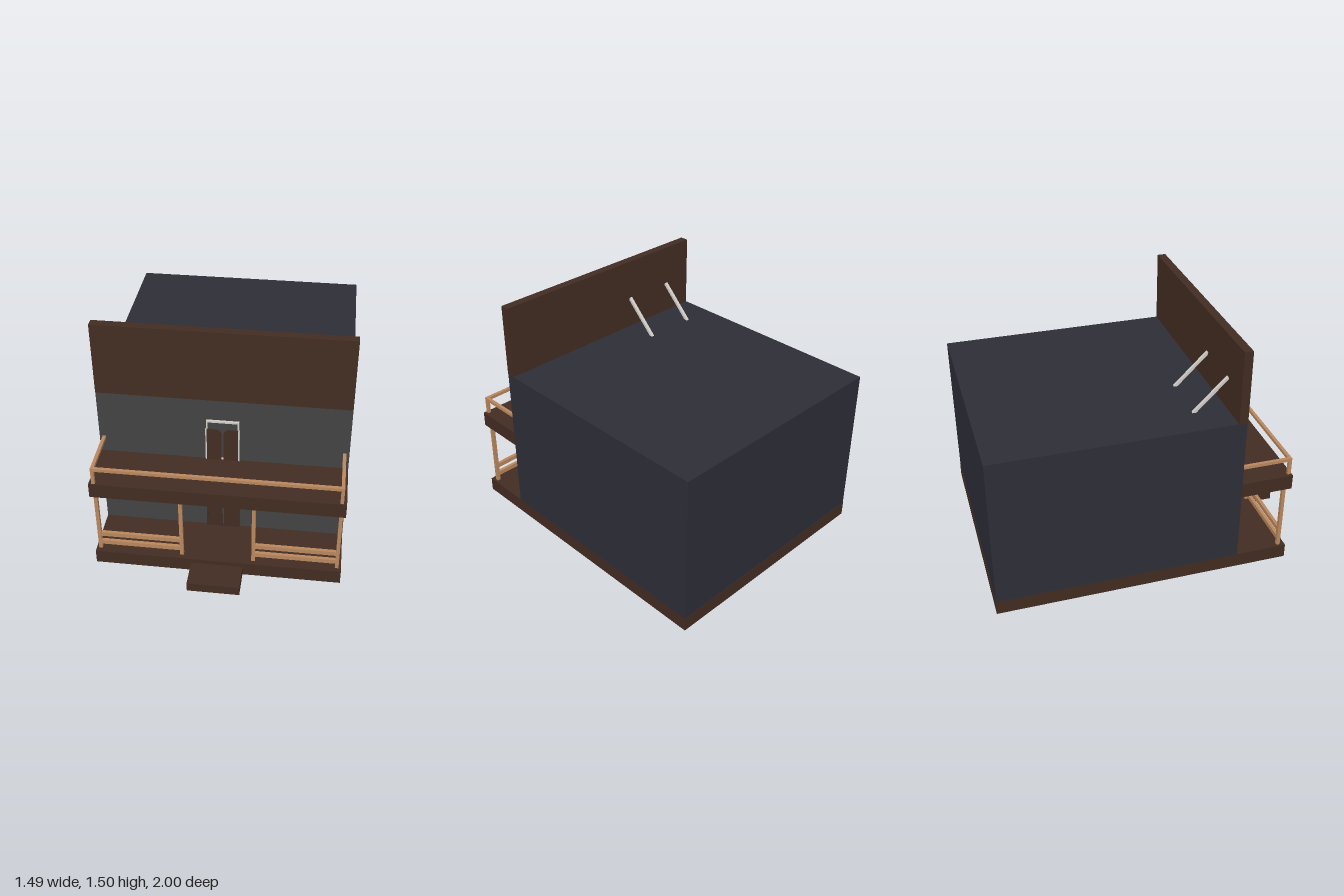
import * as THREE from 'three';

const mat = (name, color, side = THREE.FrontSide) => {
  const m = new THREE.MeshStandardMaterial({ color, side });
  m.name = name;
  return m;
};

export function createModel() {
  const brown = mat('dark wood', 0x422c22);
  const tan = mat('light wood', 0xb9875d);
  const slate = mat('slate walls', 0x2d2d37);
  const grey = mat('front wall grey', 0x434343);
  const pale = mat('pale trim', 0xcfcbc6);
  const model = new THREE.Group();

  // Box given by its minimum and maximum corners
  const box = (name, material, [x0, y0, z0], [x1, y1, z1], parent = model) => {
    const mesh = new THREE.Mesh(new THREE.BoxGeometry(x1 - x0, y1 - y0, z1 - z0), material);
    mesh.position.set((x0 + x1) / 2, (y0 + y1) / 2, (z0 + z1) / 2);
    mesh.name = name;
    parent.add(mesh);
    return mesh;
  };

  // Main masses
  box('baseDeck', brown, [-0.745, 0, -1], [0.745, 0.09, 0.83]);
  box('frontStep', brown, [-0.157, 0, 0.83], [0.157, 0.06, 1]);
  box('building', [slate, slate, slate, slate, grey, slate], [-0.745, 0.09, -0.998], [0.745, 1.045, 0.505]);
  box('falseFront', brown, [-0.745, 1.045, 0.455], [0.745, 1.5, 0.508]);
  box('balconyFloor', brown, [-0.745, 0.525, 0.505], [0.745, 0.62, 0.83]);

  // Slanted braces behind the false front
  for (const x of [-0.545, -0.22]) {
    const brace = new THREE.Mesh(new THREE.BoxGeometry(0.02, 0.3, 0.016), pale);
    brace.position.set(x, 1.14, 0.35);
    brace.rotation.x = Math.PI / 4;
    brace.name = 'roofBrace';
    model.add(brace);
  }

  // Porch posts and rails, balcony posts and side rails
  for (const s of [-1, 1]) {
    for (const x of [0.719, 0.217]) {
      box('porchPost', tan, [s * x - 0.011, 0.09, 0.778], [s * x + 0.011, 0.525, 0.8]);
    }
    for (const y of [0.125, 0.19]) {
      box('porchRail', tan, [s * 0.468 - 0.24, y, 0.779], [s * 0.468 + 0.24, y + 0.029, 0.799]);
    }
    box('balconyPost', tan, [s * 0.717 - 0.01, 0.62, 0.803], [s * 0.717 + 0.01, 0.715, 0.823]);
    box('balconySideRail', tan, [s * 0.717 - 0.01, 0.712, 0.505], [s * 0.717 + 0.01, 0.732, 0.803]);
  }
  box('balconyFrontRail', tan, [-0.727, 0.712, 0.803], [0.727, 0.732, 0.823]);

  // Door leaf with a rounded inner top corner
  const leaf = new THREE.Shape();
  leaf.moveTo(0.006, 0);
  leaf.lineTo(0.094, 0);
  leaf.lineTo(0.094, 0.22);
  leaf.lineTo(0.044, 0.22);
  leaf.quadraticCurveTo(0.006, 0.22, 0.006, 0.175);
  leaf.closePath();
  const mirrored = new THREE.Shape(leaf.getPoints(8).map((p) => new THREE.Vector2(-p.x, p.y)));

  // Double door with frame and hinge strips
  const doorway = (name, y, trim) => {
    const door = new THREE.Group();
    door.name = name;
    door.position.y = y;
    model.add(door);
    for (const s of [-1, 1]) {
      const geometry = new THREE.ExtrudeGeometry(s > 0 ? leaf : mirrored,
        { depth: 0.008, bevelEnabled: false, curveSegments: 8 });
      const mesh = new THREE.Mesh(geometry, brown);
      mesh.position.set(0, 0.003, 0.52);
      mesh.name = 'doorLeaf';
      door.add(mesh);
      box('doorJamb', trim, [s * 0.093 - 0.004, 0, 0.505], [s * 0.093 + 0.004, 0.275, 0.52], door);
      box('hingeStrip', trim, [s * 0.097 - 0.004, 0.003, 0.516], [s * 0.097 + 0.004, 0.223, 0.529], door);
    }
    box('doorHeader', trim, [-0.097, 0.267, 0.505], [0.097, 0.278, 0.52], door);
    box('doorSill', trim, [-0.097, -0.002, 0.505], [0.097, 0.004, 0.52], door);
  };
  doorway('porchDoor', 0.097, brown);
  doorway('balconyDoor', 0.629, pale);

  return model;
}
